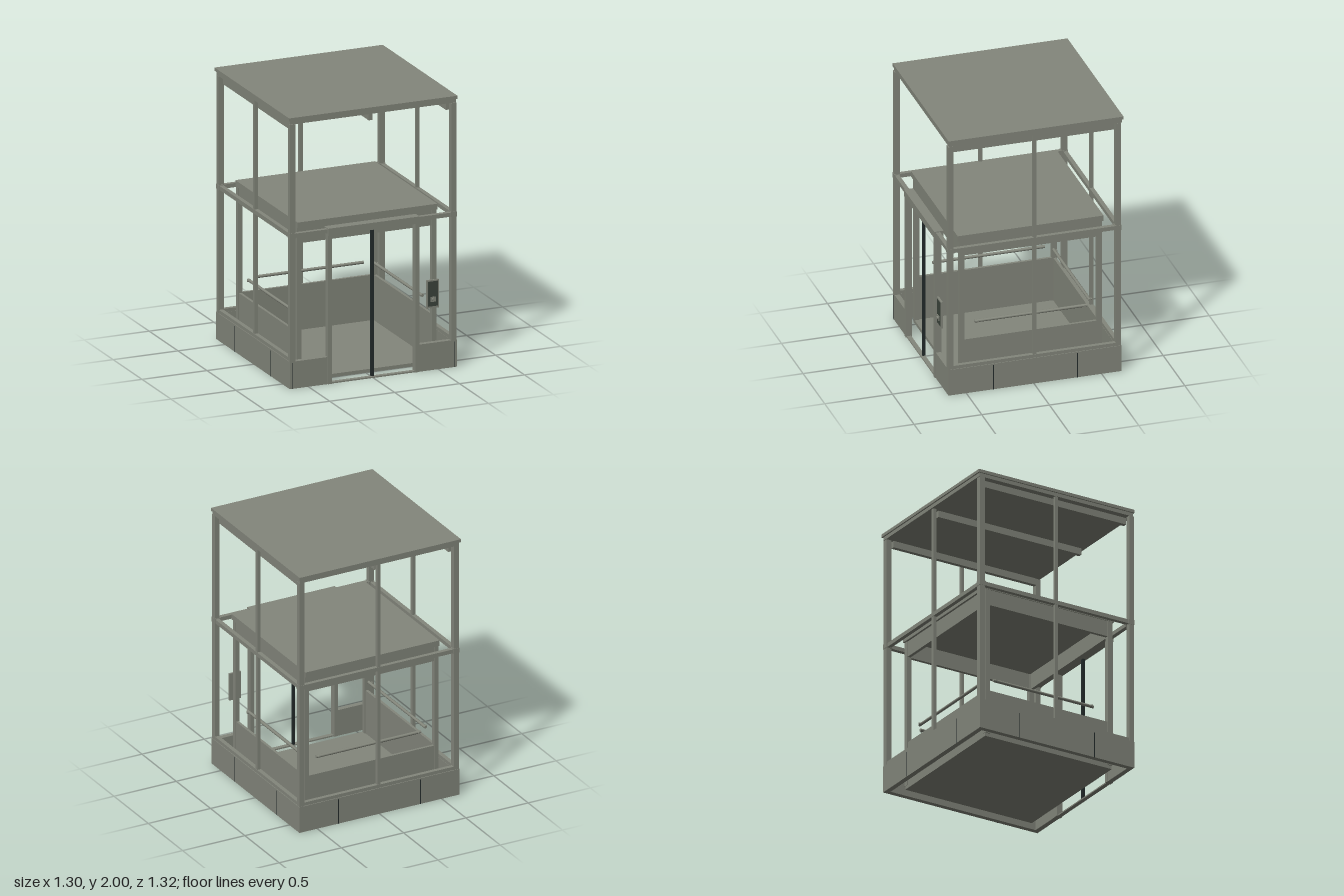
import * as THREE from 'three';

export function createModel() {
  const model = new THREE.Group();
  const mat = (name, color) => {
    const m = new THREE.MeshStandardMaterial({ color });
    m.name = name;
    return m;
  };
  const grey = mat('grey metal', 0x83867b);
  const dark = mat('dark seal', 0x222a2a);
  const green = mat('control face', 0x3c443c);

  // Box given by its low and high limits on each axis
  const box = (name, x0, x1, y0, y1, z0, z1, m = grey) => {
    const mesh = new THREE.Mesh(new THREE.BoxGeometry(x1 - x0, y1 - y0, z1 - z0), m);
    mesh.position.set((x0 + x1) / 2, (y0 + y1) / 2, (z0 + z1) / 2);
    mesh.name = name;
    model.add(mesh);
    return mesh;
  };
  // Same box on the left and right sides
  const pair = (name, x0, x1, ...rest) => {
    box(name, x0, x1, ...rest);
    box(name, -x1, -x0, ...rest);
  };
  // Round bar between two points
  const bar = (name, a, b, r) => {
    const p = new THREE.Vector3(...a), q = new THREE.Vector3(...b);
    const mesh = new THREE.Mesh(new THREE.CylinderGeometry(r, r, p.distanceTo(q), 16), grey);
    mesh.position.copy(p).add(q).multiplyScalar(0.5);
    mesh.quaternion.setFromUnitVectors(new THREE.Vector3(0, 1, 0), q.sub(p).normalize());
    mesh.name = name;
    model.add(mesh);
  };

  // Shaft roof
  box('roofPlate', -0.648, 0.648, 1.977, 2, -0.66, 0.632);
  box('roofEdge', -0.638, 0.638, 1.95, 1.977, -0.65, 0.625);

  // Shaft posts and centre posts
  pair('frontCornerPost', 0.6, 0.64, 0.19, 1.95, 0.592, 0.632);
  pair('backCornerPost', 0.6, 0.64, 0.19, 1.95, -0.645, -0.605);
  pair('sideCentrePost', 0.61, 0.635, 0.2, 1.95, -0.02, 0.004);
  box('backCentrePost', -0.012, 0.012, 0.2, 1.95, -0.64, -0.615);

  // Rails round the shaft
  for (const [y0, y1] of [[0.2, 0.225], [1.113, 1.143]]) {
    pair('sideRail', 0.607, 0.638, y0, y1, -0.642, 0.63);
    box('backRail', -0.637, 0.637, y0, y1, -0.642, -0.612);
  }
  box('frontRail', -0.637, 0.637, 1.113, 1.143, 0.6, 0.632);
  pair('railEndPlate', 0.595, 0.642, 1.11, 1.147, 0.588, 0.635);
  pair('backRailEndPlate', 0.595, 0.642, 1.11, 1.147, -0.648, -0.6);

  // Beams under the shaft roof
  for (const x of [-0.594, 0, 0.594]) {
    box('ceilingBeam', x - 0.015, x + 0.015, 1.89, 1.94, -0.6, 0.585);
  }

  // Base skirts with their seams
  pair('sideSkirt', 0.605, 0.643, 0, 0.2, -0.648, 0.632);
  box('backSkirt', -0.605, 0.605, 0, 0.2, -0.648, -0.61);
  pair('frontSkirt', 0.35, 0.605, 0, 0.2, 0.594, 0.632);
  for (const z of [0.3, -0.32]) pair('sideSeam', 0.643, 0.6445, 0, 0.19, z - 0.003, z + 0.003, dark);
  for (const x of [0.33, -0.33]) box('backSeam', x - 0.003, x + 0.003, 0, 0.19, -0.6495, -0.648, dark);
  pair('frontSeam', 0.62, 0.623, 0, 0.19, 0.632, 0.633, dark);

  // Door frame, threshold and centre seal
  pair('doorJamb', 0.32, 0.352, 0, 1.098, 0.592, 0.638);
  box('doorHeader', -0.352, 0.352, 1.098, 1.15, 0.575, 0.643);
  box('threshold', -0.32, 0.32, 0, 0.01, 0.6, 0.632);
  box('doorSeal', -0.01, 0.01, 0.01, 1.09, 0.6, 0.62, dark);

  // Lift car floor, lower panels and posts
  box('carFloor', -0.53, 0.53, 0.005, 0.03, -0.535, 0.515);
  pair('carSidePanel', 0.51, 0.53, 0.03, 0.365, -0.5, 0.48);
  box('carBackPanel', -0.505, 0.505, 0.03, 0.365, -0.53, -0.51);
  for (const [z0, z1] of [[-0.536, -0.5], [0.48, 0.516]]) {
    pair('carPost', 0.503, 0.537, 0.03, 1.15, z0, z1);
  }

  // Lift car top
  box('carRoof', -0.538, 0.538, 1.145, 1.187, -0.548, 0.53);
  pair('carSideFascia', 0.508, 0.532, 1.027, 1.145, -0.5, 0.48);
  box('carBackFascia', -0.505, 0.505, 1.027, 1.145, -0.532, -0.508);
  box('carFrontFascia', -0.505, 0.505, 1.027, 1.145, 0.488, 0.512);

  // Handrails on brackets
  for (const s of [-1, 1]) {
    bar('sideHandrail', [s * 0.485, 0.475, -0.44], [s * 0.485, 0.475, 0.39], 0.011);
    for (const z of [-0.42, 0.37]) bar('railBracket', [s * 0.485, 0.475, z], [s * 0.503, 0.475, z], 0.008);
    bar('railBracket', [s * 0.4, 0.475, -0.485], [s * 0.4, 0.475, -0.503], 0.008);
  }
  bar('backHandrail', [-0.42, 0.475, -0.485], [0.42, 0.475, -0.485], 0.011);

  // Call panel
  box('callPanel', 0.408, 0.502, 0.46, 0.668, 0.628, 0.642);
  box('callPanelFace', 0.417, 0.493, 0.475, 0.658, 0.642, 0.645, green);
  box('callButtonPlate', 0.435, 0.475, 0.508, 0.545, 0.645, 0.649);
  bar('callButton', [0.455, 0.527, 0.649], [0.455, 0.527, 0.66], 0.012);

  return model;
}
